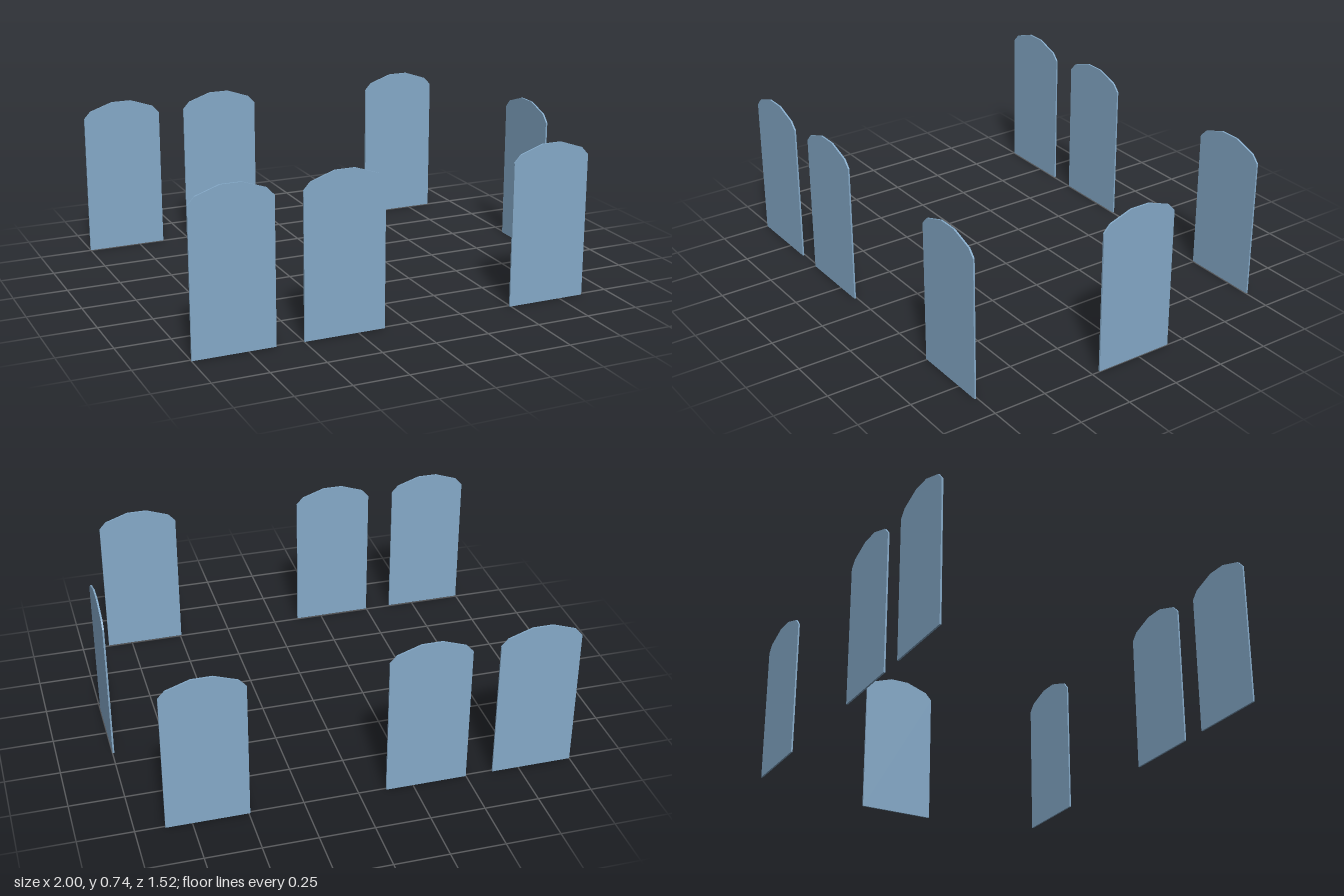
import * as THREE from 'three';

const THICKNESS = 0.008;

// Arched pane outline, centred on x = 0 and standing on y = 0
function paneGeometry() {
  const half = [[0.187, 0], [0.187, 0.663], [0.155, 0.698], [0.047, 0.735]];
  const mirrored = half.map(([x, y]) => [-x, y]).reverse();
  const outline = [...half, ...mirrored].map(([x, y]) => new THREE.Vector2(x, y));
  const geometry = new THREE.ExtrudeGeometry(new THREE.Shape(outline), {
    depth: THICKNESS,
    bevelEnabled: false,
  });
  return geometry.translate(0, 0, -THICKNESS / 2);
}

export function createModel() {
  const model = new THREE.Group();
  model.name = 'windowPanes';
  const geometry = paneGeometry();
  const glass = new THREE.MeshStandardMaterial({ color: 0x85aac9, flatShading: true });

  function addPane(name, x, z, turn = 0) {
    const pane = new THREE.Mesh(geometry, glass);
    pane.name = name;
    pane.position.set(x, 0, z);
    pane.rotation.y = turn;
    model.add(pane);
  }

  // Three panes along each long wall
  [-0.813, -0.312, 0.681].forEach((x, i) => {
    addPane(`frontPane${i + 1}`, x, 0.759);
    addPane(`backPane${i + 1}`, x, -0.756);
  });

  // Single pane in the end wall
  addPane('endPane', 0.995, 0.023, Math.PI / 2);

  return model;
}
